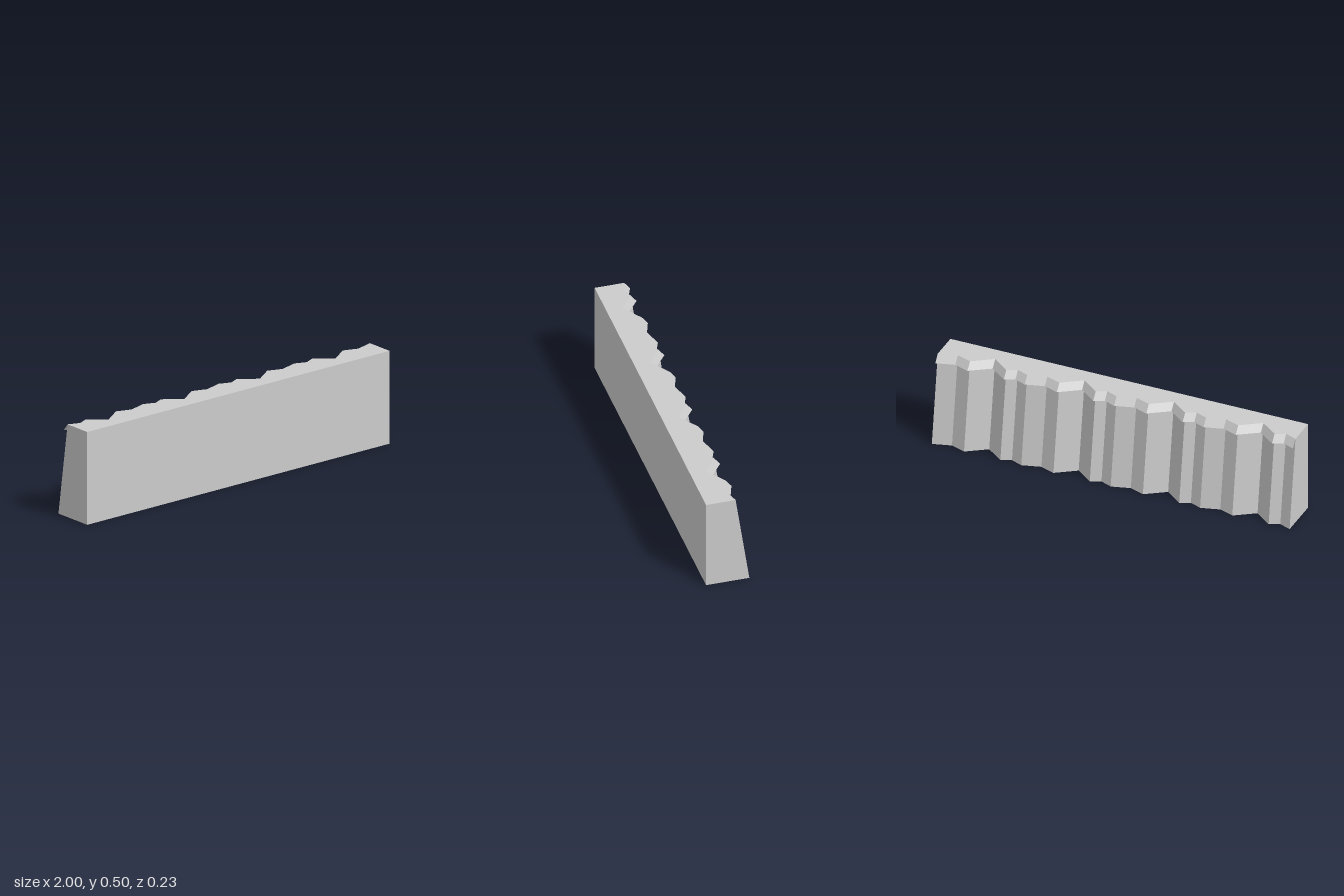
import * as THREE from 'three';

const HEIGHT = 0.5;
const FRONT_Z = 0.115;
const SLOPE = 0.073; // how far the back leans in by the top

// One bay of the folded back wall: [x offset, z at the ground]
const BAY = [[0, -0.115], [0.063, -0.09], [0.117, -0.115], [0.212, -0.042], [0.32, -0.115], [0.4, -0.087]];

function backProfile() {
  const points = [];
  for (let i = 0; i < 4; i++) {
    for (const [x, z] of BAY) points.push([-1 + i * 0.5 + x, z]);
  }
  points.push([1, -0.115]);
  return points;
}

// Solid wall: flat front, folded back leaning inwards
function wallGeometry(profile) {
  const shape = new THREE.Shape();
  shape.moveTo(-1, -FRONT_Z);
  shape.lineTo(1, -FRONT_Z);
  for (const [x, z] of [...profile].reverse()) shape.lineTo(x, -z);
  shape.closePath();
  const geometry = new THREE.ExtrudeGeometry(shape, { depth: HEIGHT, bevelEnabled: false });
  geometry.rotateX(-Math.PI / 2);
  const p = geometry.attributes.position;
  for (let i = 0; i < p.count; i++) {
    if (p.getZ(i) < FRONT_Z - 0.01) p.setZ(i, p.getZ(i) + SLOPE * p.getY(i) / HEIGHT);
  }
  geometry.computeVertexNormals();
  return geometry;
}

// Thin sloping lip that follows the folds below the top edge
function lipGeometry(profile) {
  const positions = [];
  const index = [];
  profile.forEach(([x, z], i) => {
    positions.push(x, HEIGHT, z + SLOPE, x, HEIGHT - 0.04, z + 0.042);
    if (i > 0) {
      const a = 2 * i - 2;
      index.push(a, a + 2, a + 1, a + 1, a + 2, a + 3);
    }
  });
  const geometry = new THREE.BufferGeometry();
  geometry.setAttribute('position', new THREE.Float32BufferAttribute(positions, 3));
  geometry.setIndex(index);
  const flat = geometry.toNonIndexed();
  flat.computeVertexNormals();
  return flat;
}

export function createModel() {
  const group = new THREE.Group();
  group.name = 'foldedWall';
  const profile = backProfile();

  const wall = new THREE.Mesh(
    wallGeometry(profile),
    new THREE.MeshStandardMaterial({ color: 0xcccccc, flatShading: true })
  );
  wall.name = 'wall';

  const lip = new THREE.Mesh(
    lipGeometry(profile),
    new THREE.MeshStandardMaterial({ color: 0xcccccc, flatShading: true, side: THREE.DoubleSide })
  );
  lip.name = 'topLip';

  group.add(wall, lip);
  return group;
}
